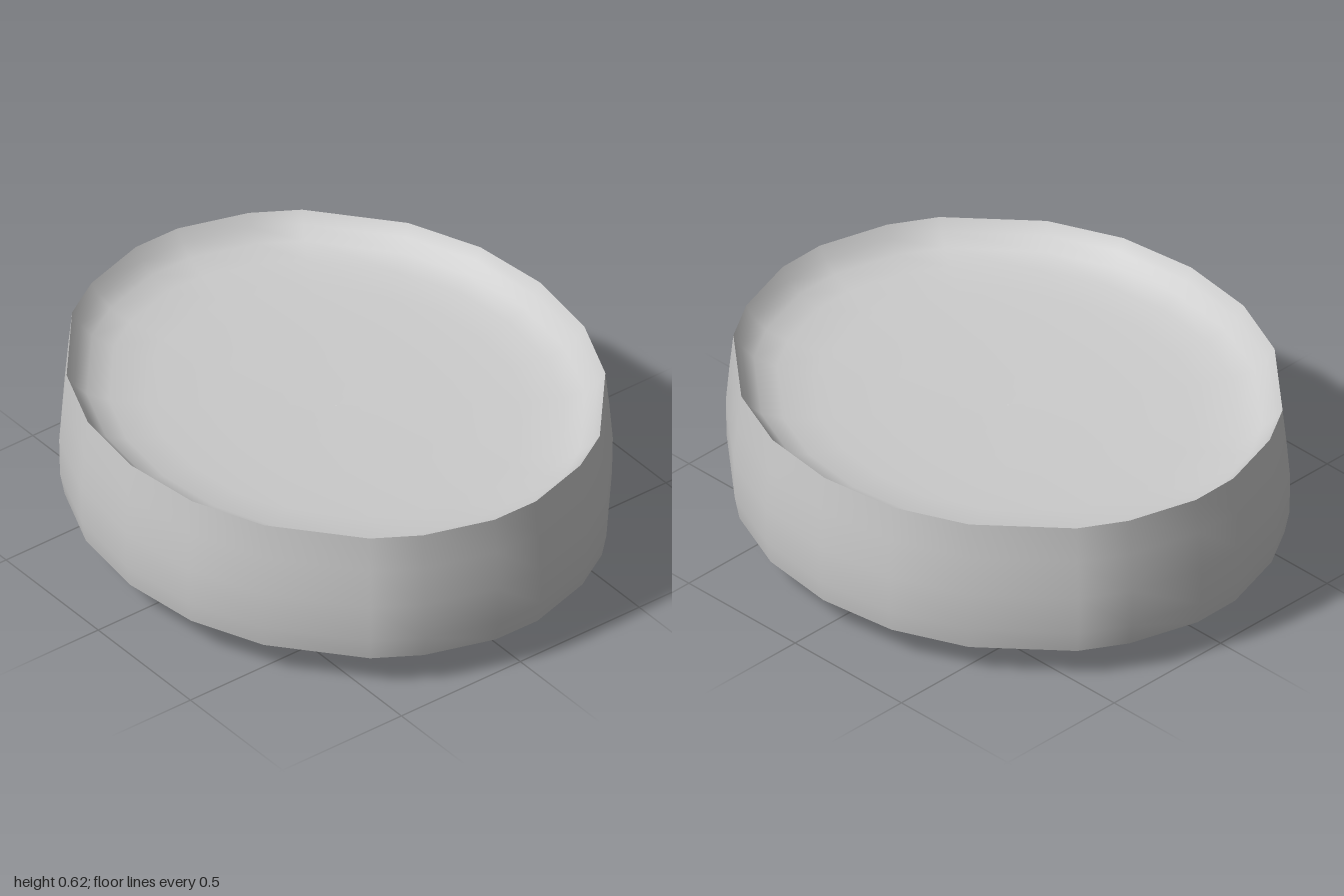
import * as THREE from 'three';

// Plan outline: one quarter, from the front towards +x, mirrored to the rest
const quarter = [[0, 0.885], [0.29, 0.848], [0.55, 0.738], [0.83, 0.497], [0.925, 0.34], [1, 0.09]];
const half = [...quarter, ...quarter.map(([x, z]) => [x, -z]).reverse()];
const outline = [...half, ...half.slice(1, -1).map(([x, z]) => [-x, z]).reverse()];

// Sweeps a [scale, height] profile around the outline, with a slight forward tilt
function sweep(profile) {
  const n = outline.length, positions = [], index = [];
  for (const [s, y] of profile) {
    for (const [x, z] of outline) positions.push(x * s, y + 0.011 * z * s, z * s);
  }
  for (let i = 0; i < profile.length - 1; i++) {
    for (let j = 0; j < n; j++) {
      const a = i * n + j, b = i * n + (j + 1) % n;
      index.push(a, b, a + n, b, b + n, a + n);
    }
  }
  const geometry = new THREE.BufferGeometry();
  geometry.setAttribute('position', new THREE.Float32BufferAttribute(positions, 3));
  geometry.setIndex(index);
  geometry.computeVertexNormals();
  return geometry;
}

export function createModel() {
  const group = new THREE.Group();
  group.name = 'roundDish';
  const material = new THREE.MeshStandardMaterial({ color: 0xcccccc, side: THREE.DoubleSide });
  // Separate parts keep the base and rim edges sharp
  const parts = {
    underside: [[0.004, 0], [0.32, 0.012], [0.62, 0.028], [0.88, 0.073], [0.98, 0.118]],
    outerWall: [[0.98, 0.118], [0.997, 0.2], [1, 0.34], [0.987, 0.48], [0.973, 0.606]],
    hollowTop: [[0.973, 0.606], [0.945, 0.565], [0.9, 0.528], [0.82, 0.503], [0.68, 0.488], [0.4, 0.48], [0.004, 0.477]],
  };
  for (const [name, profile] of Object.entries(parts)) {
    const mesh = new THREE.Mesh(sweep(profile), material);
    mesh.name = name;
    group.add(mesh);
  }
  return group;
}
